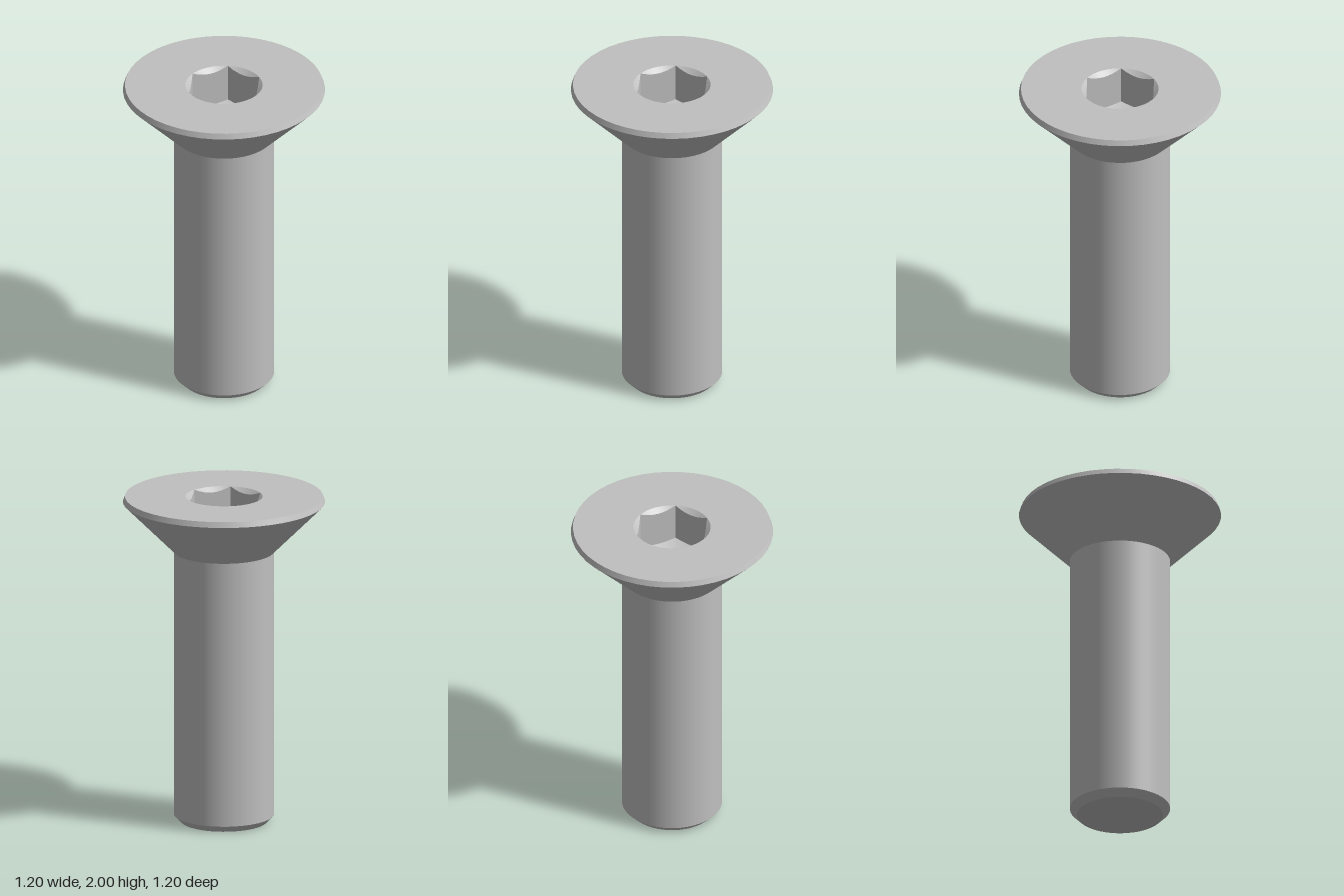
import * as THREE from 'three';

const SEG = 48;

export function createModel() {
  const steel = new THREE.MeshStandardMaterial({ color: 0xc0c0c0 });
  steel.name = 'plain steel';
  const screw = new THREE.Group();
  screw.name = 'countersunkScrew';

  const add = (name, geometry) => {
    const mesh = new THREE.Mesh(geometry, steel);
    mesh.name = name;
    screw.add(mesh);
  };

  // Turned bands, each separate so the edges between them stay sharp
  const band = (name, r0, y0, r1, y1) =>
    add(name, new THREE.LatheGeometry([new THREE.Vector2(r0, y0), new THREE.Vector2(r1, y1)], SEG));
  band('tipFace', 0, 0, 0.257, 0);
  band('tipChamfer', 0.257, 0, 0.299, 0.042);
  band('shank', 0.299, 0.042, 0.299, 1.664);
  band('headCone', 0.299, 1.664, 0.602, 1.967);
  band('headRim', 0.602, 1.967, 0.59, 2);
  band('headFace', 0.59, 2, 0.23, 2);

  // Hex socket: corner radius R, corners on the x axis
  const R = 0.23;
  const sector = Math.PI / 3;
  const hexRadius = a => R * Math.cos(sector / 2) / Math.cos((a % sector) - sector / 2);
  const ring = (radius, height) => Array.from({ length: SEG + 1 }, (_, i) => {
    const a = (i % SEG) / SEG * Math.PI * 2 + 1e-9;
    const r = radius(a);
    return [r * Math.cos(a), height(r), -r * Math.sin(a)];
  });

  // Surface between an upper and a lower ring, facing into the socket
  const strip = (upper, lower, flat) => {
    let g = new THREE.BufferGeometry();
    g.setAttribute('position', new THREE.Float32BufferAttribute([...upper, ...lower].flat(), 3));
    const index = [];
    const n = SEG + 1;
    for (let i = 0; i < SEG; i++) index.push(i, i + 1, n + i, i + 1, n + i + 1, n + i);
    g.setIndex(index);
    if (flat) g = g.toNonIndexed();
    g.computeVertexNormals();
    return g;
  };

  const mouth = ring(() => R, () => 2);
  const wallTop = ring(hexRadius, r => 2 - (R - r) * 0.9);
  const wallBottom = ring(hexRadius, r => 1.77 - (R - r) * 0.4);
  const centre = ring(() => 0.0005, r => 1.77 - (R - r) * 0.4);
  add('socketChamfer', strip(mouth, wallTop, false));
  add('socketWalls', strip(wallTop, wallBottom, true));
  add('socketFloor', strip(wallBottom, centre, false));

  return screw;
}
